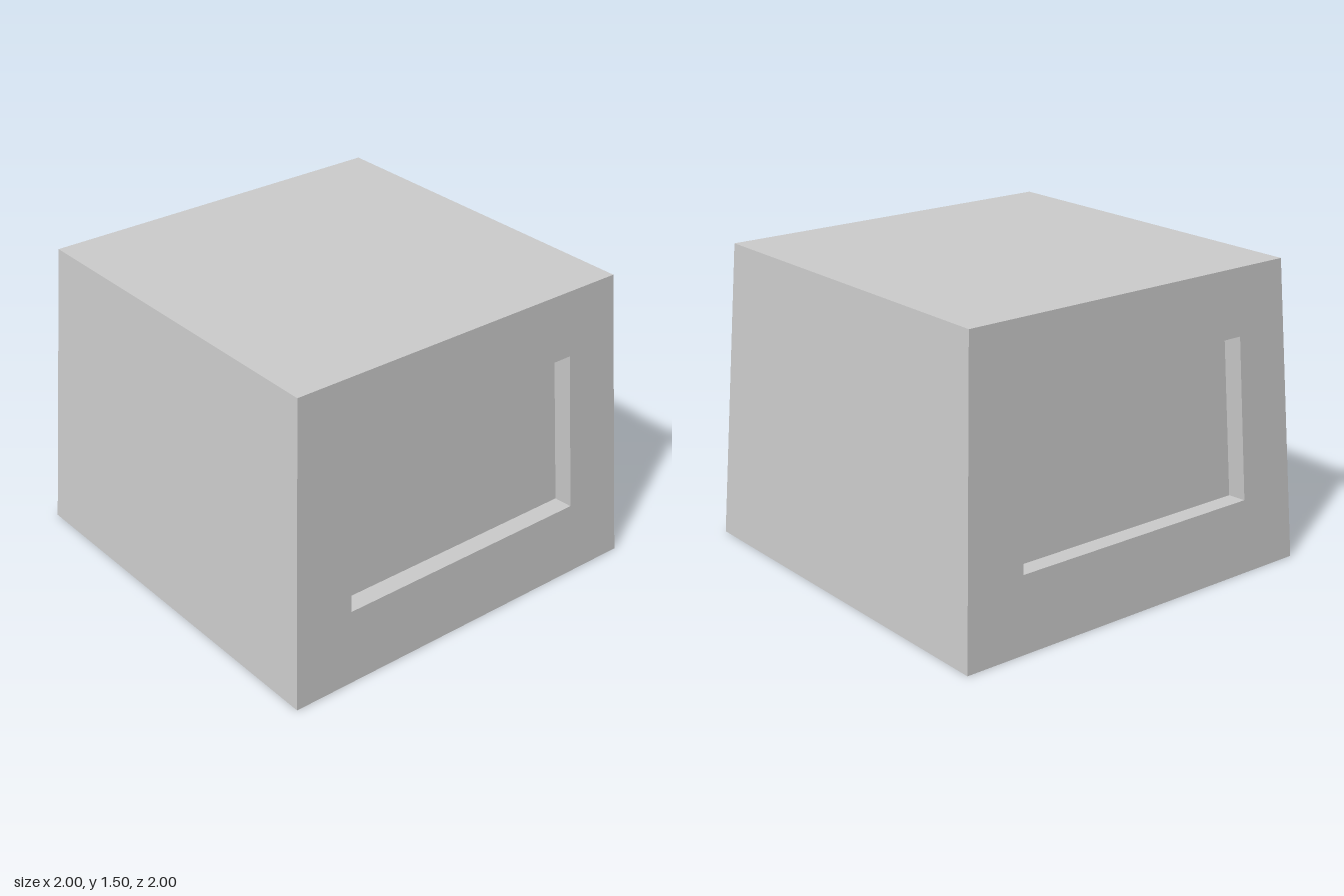
import * as THREE from 'three';

const HEIGHT = 1.5, TAPER = 0.085 / 1.5, DEPTH = 0.1;
const half = (y) => 1 - TAPER * y; // half width of the tapered block at height y

// Flat-shaded geometry from quads given counter-clockwise from outside
function quads(list) {
  const pos = [];
  for (const [a, b, c, d] of list) for (const p of [a, b, c, a, c, d]) pos.push(...p);
  const g = new THREE.BufferGeometry();
  g.setAttribute('position', new THREE.Float32BufferAttribute(pos, 3));
  g.computeVertexNormals();
  return g;
}

// Trapezoid loop on the sloping front face, counter-clockwise from bottom left
function faceLoop(y0, y1, ratio) {
  const a = half(y0), b = half(y1);
  return [[-a * ratio, y0, a], [a * ratio, y0, a], [b * ratio, y1, b], [-b * ratio, y1, b]];
}

// Quads joining an outer loop to an inner loop
const bridge = (outer, inner) => outer.map((p, i) => {
  const j = (i + 1) % outer.length;
  return [p, outer[j], inner[j], inner[i]];
});

export function createModel() {
  const model = new THREE.Group();
  const grey = new THREE.MeshStandardMaterial({ color: 0xcccccc });
  grey.name = 'plain grey';
  const add = (parent, name, list) => {
    const mesh = new THREE.Mesh(quads(list), grey);
    mesh.name = name;
    parent.add(mesh);
  };

  const outer = faceLoop(0, HEIGHT, 1);
  const opening = faceLoop(0.37, 1.175, 0.692);
  // Recess floor: the opening pushed inward along the face normal
  const n = new THREE.Vector3(0, TAPER, 1).normalize().multiplyScalar(DEPTH);
  const floor = opening.map(([x, y, z]) => [x, y - n.y, z - n.z]);

  // Front and back walls, each with a recessed panel
  for (const [name, angle] of [['frontWall', 0], ['backWall', Math.PI]]) {
    const wall = new THREE.Group();
    wall.name = name;
    add(wall, 'frame', bridge(outer, opening));
    add(wall, 'recessSides', bridge(opening, floor));
    add(wall, 'recessPanel', [floor]);
    wall.rotation.y = angle;
    model.add(wall);
  }

  // Plain left and right walls
  for (const [name, angle] of [['leftWall', Math.PI / 2], ['rightWall', -Math.PI / 2]]) {
    const wall = new THREE.Group();
    wall.name = name;
    add(wall, 'side', [outer]);
    wall.rotation.y = angle;
    model.add(wall);
  }

  // Flat top and base
  const t = half(HEIGHT);
  add(model, 'top', [[[-t, HEIGHT, t], [t, HEIGHT, t], [t, HEIGHT, -t], [-t, HEIGHT, -t]]]);
  add(model, 'base', [[[-1, 0, -1], [1, 0, -1], [1, 0, 1], [-1, 0, 1]]]);
  return model;
}
